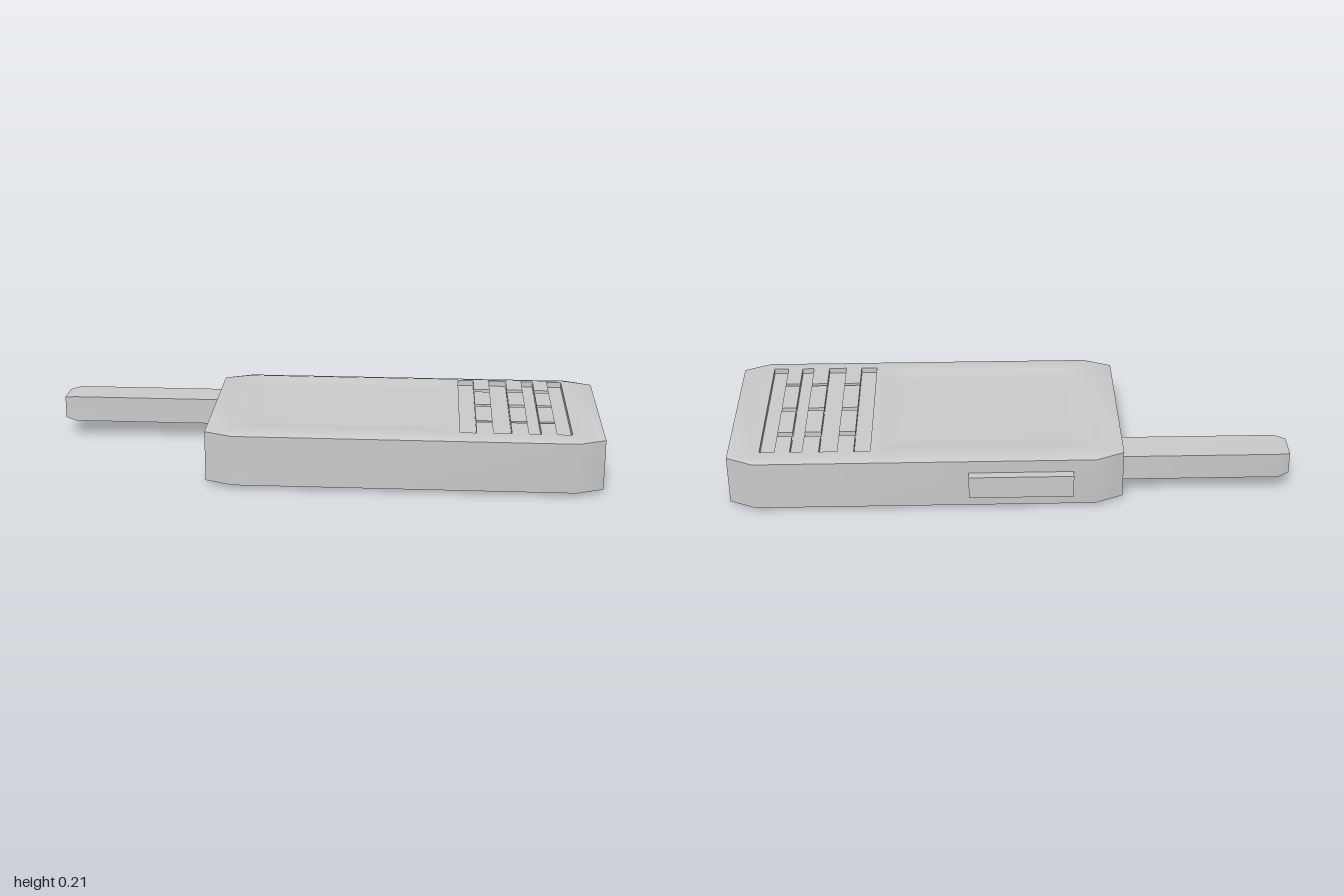
import * as THREE from 'three';
import { toCreasedNormals } from 'three/addons/utils/BufferGeometryUtils.js';

const material = new THREE.MeshStandardMaterial({ color: 0xcccccc });
const thin = new THREE.MeshStandardMaterial({ color: 0xcccccc, side: THREE.DoubleSide });

// Body extents: outer outline (O) and the flat faces inside the chamfer (F)
const O = { x0: -0.4, x1: 1, z0: -0.34, z1: 0.37 };
const F = { x0: -0.3, x1: 0.905, z0: -0.295, z1: 0.327 };
const LOW = 0.013, HIGH = 0.195, TOP = 0.207;

function mesh(name, geometry, mat = material) {
  const m = new THREE.Mesh(geometry, mat);
  m.name = name;
  return m;
}

const points = (list) => list.map(([x, y]) => new THREE.Vector2(x, y));
const rect = (x0, y0, x1, y1) => points([[x0, y0], [x1, y0], [x1, y1], [x0, y1]]);

function shapeOf(outline, holes = []) {
  const s = new THREE.Shape(outline);
  s.holes = holes.map((h) => new THREE.Path(h));
  return s;
}

// Walls and floor of a recess cut into the local z = 0 plane
function pocket(name, outline, islands, depth) {
  const group = new THREE.Group();
  group.name = name;
  const pos = [];
  for (const loop of [outline, ...islands]) {
    loop.forEach((a, i) => {
      const b = loop[(i + 1) % loop.length];
      pos.push(a.x, a.y, 0, b.x, b.y, 0, b.x, b.y, -depth);
      pos.push(a.x, a.y, 0, b.x, b.y, -depth, a.x, a.y, -depth);
    });
  }
  const walls = new THREE.BufferGeometry();
  walls.setAttribute('position', new THREE.Float32BufferAttribute(pos, 3));
  walls.computeVertexNormals();
  const floor = new THREE.ShapeGeometry(shapeOf(outline, islands)).translate(0, 0, -depth);
  group.add(mesh(name + 'Walls', walls, thin), mesh(name + 'Floor', floor));
  return group;
}

// Side band with cut corners and shallow chamfers above and below
function bodySides() {
  const outer = [[F.x0, O.z1], [F.x1, O.z1], [O.x1, F.z1], [O.x1, F.z0],
    [F.x1, O.z0], [F.x0, O.z0], [O.x0, F.z0], [O.x0, F.z1]];
  const inner = outer.map(([x, z]) => [
    THREE.MathUtils.clamp(x, F.x0, F.x1), THREE.MathUtils.clamp(z, F.z0, F.z1)]);
  const rings = [[inner, 0], [outer, LOW], [outer, HIGH], [inner, TOP]]
    .map(([loop, y]) => loop.map(([x, z]) => [x, y, z]));
  const same = (a, b) => a.every((v, k) => v === b[k]);
  const pos = [];
  for (let r = 0; r < 3; r++) {
    for (let i = 0; i < 8; i++) {
      if (r === 1 && i === 2) continue; // end face carries the port
      const j = (i + 1) % 8;
      const a = rings[r][i], b = rings[r][j], c = rings[r + 1][j], d = rings[r + 1][i];
      if (!same(a, b)) pos.push(...a, ...b, ...c);
      if (!same(c, d)) pos.push(...a, ...c, ...d);
    }
  }
  let g = new THREE.BufferGeometry();
  g.setAttribute('position', new THREE.Float32BufferAttribute(pos, 3));
  g = toCreasedNormals(g, 0.6);
  // Blend the chamfers into the flat faces
  const p = g.attributes.position, n = g.attributes.normal;
  for (let i = 0; i < p.count; i++) {
    if (p.getY(i) > 0.2) n.setXYZ(i, 0, 1, 0);
    if (p.getY(i) < 0.005) n.setXYZ(i, 0, -1, 0);
  }
  return g;
}

// Shallow dished screen with softly sloping edges
function screenDish(x0, z0, x1, z1) {
  const g = new THREE.PlaneGeometry(x1 - x0, z1 - z0, 40, 32).rotateX(-Math.PI / 2);
  g.translate((x0 + x1) / 2, TOP, (z0 + z1) / 2);
  const p = g.attributes.position;
  for (let i = 0; i < p.count; i++) {
    const x = p.getX(i), z = p.getZ(i);
    const edge = Math.min(x - x0, x1 - x, z - z0, z1 - z);
    p.setY(i, TOP - 0.006 * THREE.MathUtils.smoothstep(edge, 0, 0.075));
  }
  g.computeVertexNormals();
  return g;
}

// Antenna bar with a tapered tip
function antennaBar() {
  const g = new THREE.BoxGeometry(2, 0.096, 0.13, 2, 1, 1);
  const p = g.attributes.position;
  for (let i = 0; i < p.count; i++) {
    const s = p.getX(i);
    if (s < -0.5) p.setXYZ(i, -1, p.getY(i) * 0.84, p.getZ(i) * 0.76);
    else p.setX(i, s < 0.5 ? -0.96 : -0.39);
  }
  return toCreasedNormals(g, 0.6).translate(0, 0.11, -0.2);
}

export function createModel() {
  const model = new THREE.Group();
  model.name = 'mobilePhone';

  const body = new THREE.Group();
  body.name = 'body';
  body.add(mesh('bodySides', bodySides()));

  // Upper face, drawn as (x, -z) and laid flat
  const face = new THREE.Group();
  face.name = 'upperFace';
  face.rotation.x = -Math.PI / 2;
  face.position.y = TOP;

  // Keypad grooves: four strips joined by three narrow cross grooves
  const strips = [[0.495, 0.553], [0.612, 0.676], [0.735, 0.778], [0.832, 0.885]];
  const far = [], near = [], keys = [];
  strips.forEach(([a, b], i) => {
    far.push([a, 0.28], [b, 0.28]);
    near.push([a, -0.31], [b, -0.31]);
    if (i === strips.length - 1) return;
    const next = strips[i + 1][0];
    far.push([b, 0.175], [next, 0.175]);
    near.push([b, -0.195], [next, -0.195]);
    keys.push(rect(b, 0, next, 0.148), rect(b, -0.18, next, -0.02));
  });
  const grooves = points([...far, ...near.reverse()]);

  const screen = [-0.29, -0.28, 0.47, 0.31]; // x0, z0, x1, z1
  const plate = shapeOf(rect(F.x0, -F.z1, F.x1, -F.z0),
    [rect(screen[0], -screen[3], screen[2], -screen[1]), grooves]);
  face.add(mesh('upperPlate', new THREE.ShapeGeometry(plate)));
  face.add(mesh('keys', new THREE.ShapeGeometry(keys.map((k) => shapeOf(k)))));
  face.add(pocket('keypadGrooves', grooves, keys, 0.02));
  body.add(face, mesh('screen', screenDish(...screen)));

  // Underside
  const under = new THREE.ShapeGeometry(shapeOf(rect(F.x0, F.z0, F.x1, F.z1)));
  body.add(mesh('underside', under.rotateX(Math.PI / 2)));

  // End face with the port, drawn as (-z, y)
  const end = new THREE.Group();
  end.name = 'endFace';
  end.rotation.y = Math.PI / 2;
  end.position.x = O.x1;
  const port = rect(-0.12, 0.081, 0.085, 0.13);
  end.add(mesh('endPlate',
    new THREE.ShapeGeometry(shapeOf(rect(-F.z1, LOW, -F.z0, HIGH), [port]))));
  end.add(pocket('port', port, [], 0.035));
  body.add(end);
  model.add(body);

  // Side button on the back edge
  const button = mesh('sideButton', new THREE.BoxGeometry(0.37, 0.085, 0.05));
  button.position.set(-0.035, 0.105, -0.346);
  model.add(button);

  model.add(mesh('antenna', antennaBar()));
  return model;
}
